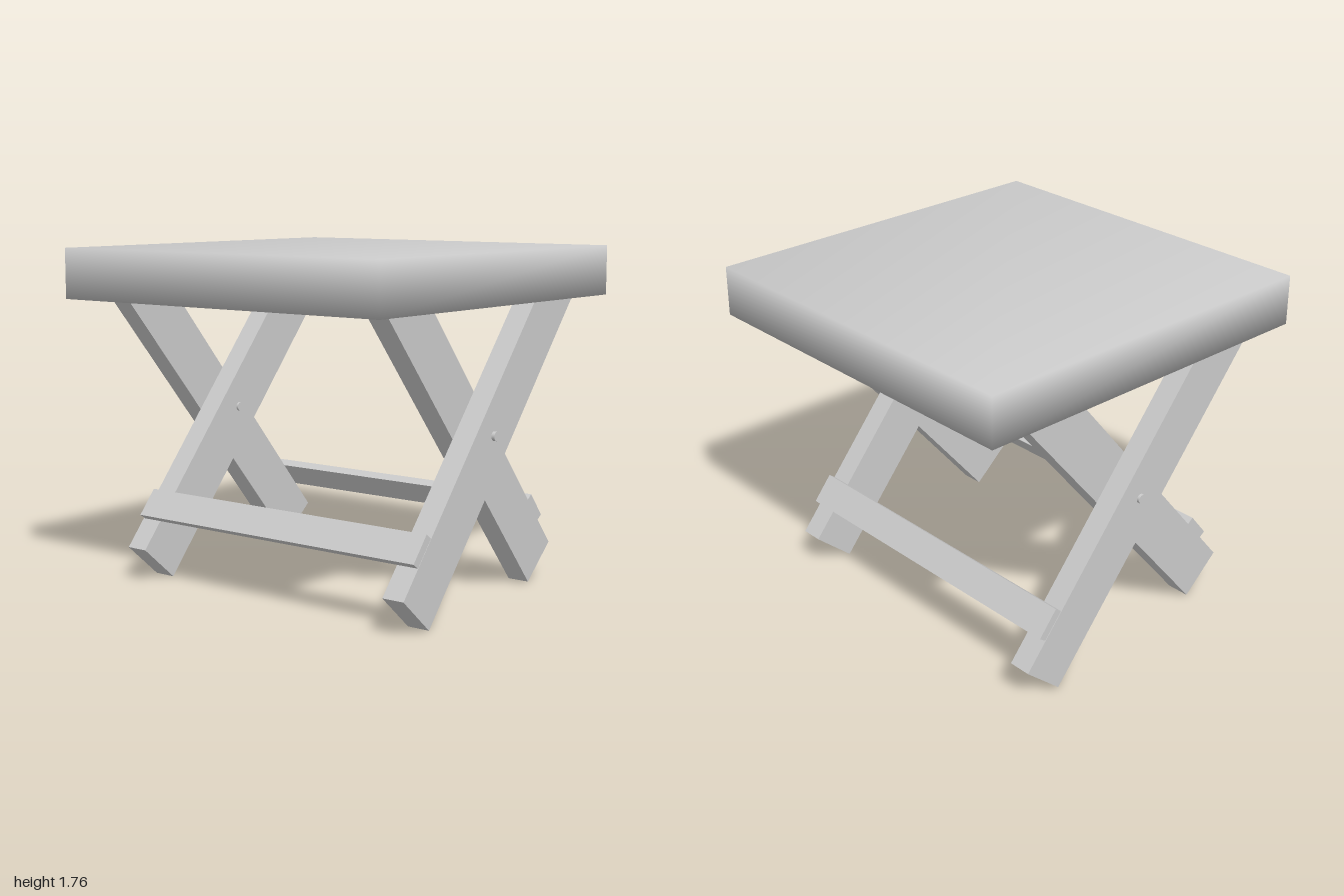
import * as THREE from 'three';
import { mergeVertices } from 'three/addons/utils/BufferGeometryUtils.js';

const material = new THREE.MeshStandardMaterial({ color: 0xcccccc });

function addMesh(group, geometry, name) {
  const mesh = new THREE.Mesh(geometry, material);
  mesh.name = name;
  group.add(mesh);
  return mesh;
}

// Extrude an outline in the xy plane from z0 to z1; side = -1 mirrors it in x
function plank(outline, side, z0, z1) {
  const shape = new THREE.Shape(outline.map(([x, y]) => new THREE.Vector2(x * side, y)));
  const geometry = new THREE.ExtrudeGeometry(shape, { depth: z1 - z0, bevelEnabled: false });
  return geometry.translate(0, 0, z0);
}

// Slab whose normals blend across its edges, giving a soft cushion look
function softSlab(width, height, depth) {
  const box = new THREE.BoxGeometry(width, height, depth);
  box.deleteAttribute('uv');
  box.deleteAttribute('normal');
  const geometry = mergeVertices(box);
  geometry.computeVertexNormals();
  return geometry;
}

export function createModel() {
  const stool = new THREE.Group();
  stool.name = 'foldingStool';

  // Seat
  addMesh(stool, softSlab(2, 0.26, 2), 'seat').position.y = 1.63;

  // Leg leaning from lower -x to upper +x, cut level under the seat
  const legOutline = [[-0.745, 0.18], [-0.54, 0], [0.725, 1.5], [0.36, 1.5]];
  // Cross bar section lying on the outer face of the leg
  const barOutline = [[-0.63, 0.317], [-0.527, 0.44], [-0.562, 0.467], [-0.665, 0.342]];

  const frames = [
    { name: 'outerFrame', side: 1, legs: [[0.83, 0.952], [-0.845, -0.722]], bar: [-0.835, 0.95] },
    { name: 'innerFrame', side: -1, legs: [[0.71, 0.83], [-0.965, -0.845]], bar: [-0.962, 0.827] },
  ];
  for (const { name, side, legs, bar } of frames) {
    const frame = new THREE.Group();
    frame.name = name;
    addMesh(frame, plank(legOutline, side, ...legs[0]), 'frontLeg');
    addMesh(frame, plank(legOutline, side, ...legs[1]), 'backLeg');
    addMesh(frame, plank(barOutline, side, ...bar), 'crossBar');
    stool.add(frame);
  }

  // Pivot pins through each pair of crossing legs
  for (const [name, z] of [['frontPivot', 0.835], ['backPivot', -0.845]]) {
    const pin = new THREE.CylinderGeometry(0.024, 0.024, 0.27, 24).rotateX(Math.PI / 2);
    addMesh(stool, pin, name).position.set(0, 0.86, z);
  }
  return stool;
}
